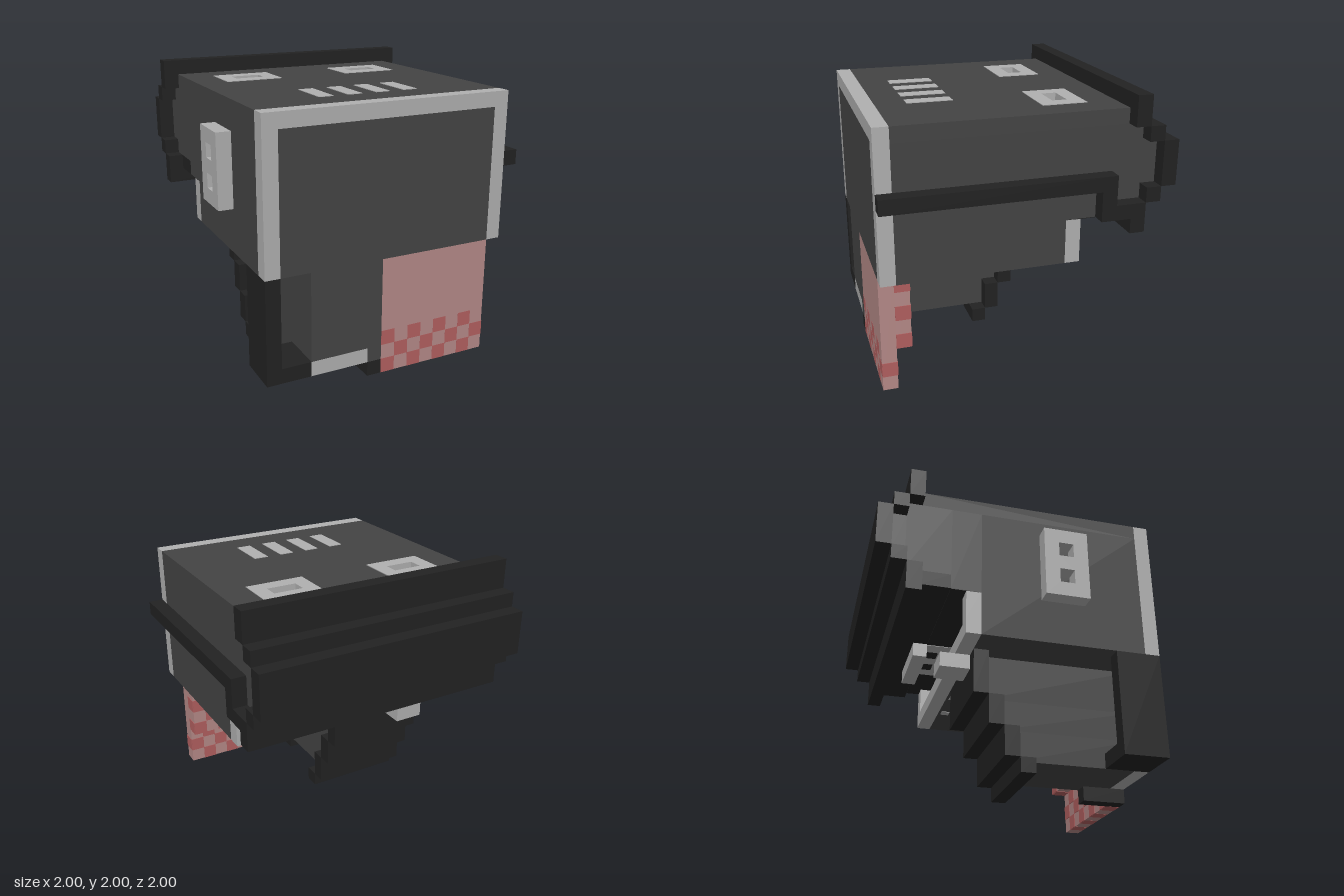
import * as THREE from 'three';

const U = 2 / 19; // one block of the 19 x 19 x 19 layout
const E = 0.04;   // thickness of painted plates, in blocks

const mat = (name, color) => {
  const m = new THREE.MeshStandardMaterial({ color });
  m.name = name;
  return m;
};

export function createModel() {
  const dark = mat('darkGray', 0x444444);
  const black = mat('black', 0x222222);
  const light = mat('lightGray', 0xb0b0b0);
  const pink = mat('pink', 0xb58a88);
  const red = mat('red', 0xb26060);
  const violet = mat('violet', 0x60608a);

  const model = new THREE.Group();
  model.name = 'blockHelmet';

  const add = (name, geometry, material) => {
    const mesh = new THREE.Mesh(geometry, material);
    mesh.name = name;
    model.add(mesh);
    return mesh;
  };

  // Box between block coordinates; x and z run 0..19, y starts at the ground
  const box = (name, material, x0, x1, y0, y1, z0, z1) => {
    const g = new THREE.BoxGeometry((x1 - x0) * U, (y1 - y0) * U, (z1 - z0) * U);
    g.translate(((x0 + x1) / 2 - 9.5) * U, ((y0 + y1) / 2) * U, ((z0 + z1) / 2 - 9.5) * U);
    return add(name, g, material);
  };

  // Slab with rectangular holes; rectangles are [a0, a1, b0, b1] in blocks
  const slab = (outer, holes) => {
    const trace = (path, [a0, a1, b0, b1]) => {
      path.moveTo(a0 * U, b0 * U);
      path.lineTo(a1 * U, b0 * U);
      path.lineTo(a1 * U, b1 * U);
      path.lineTo(a0 * U, b1 * U);
      path.closePath();
      return path;
    };
    const shape = trace(new THREE.Shape(), outer);
    shape.holes = holes.map((h) => trace(new THREE.Path(), h));
    return new THREE.ExtrudeGeometry(shape, { depth: U, bevelEnabled: false });
  };
  // Lay a slab flat: shape axes become x and z, top at block height y
  const roofSlab = (name, material, y, outer, holes) => {
    const g = slab(outer, holes);
    g.rotateX(Math.PI / 2);
    g.translate(-1, y * U, -1);
    return add(name, g, material);
  };

  // Upper shell
  box('shell', dark, 1, 18, 8, 17, 7, 18);
  box('shellRear', dark, 1, 18, 11, 17, 5, 7);
  box('shellRear', dark, 1, 18, 12, 17, 2, 5);
  box('shellRear', dark, 1, 18, 13, 16, 1, 2);

  // Roof with two sunken windows
  const windows = [3, 12];
  roofSlab('roof', dark, 18, [1, 18, 3, 18], windows.map((x) => [x, x + 4, 5, 8]));
  for (const x of windows) {
    roofSlab('windowFrame', light, 18 + E, [x, x + 4, 5, 8], [[x + 1, x + 3, 6, 7]]);
    box('windowPane', violet, x + 1, x + 3, 17, 17 + E, 6, 7);
  }
  for (let x = 6; x <= 12; x += 2) box('roofSlot', light, x, x + 1, 18, 18 + E, 13, 16);

  // Face frame and panel
  box('frameTop', light, 1, 18, 17, 18, 18, 19);
  box('frameSide', light, 1, 2, 8, 17, 18, 19);
  box('frameSide', light, 17, 18, 8, 17, 18, 19);
  box('facePanel', dark, 2, 17, 8, 17, 18, 19);

  // Stepped rear rim: [y0, y1, z0]
  for (const [y0, y1, z0] of [[17, 19, 2], [16, 17, 1], [13, 16, 0], [12, 13, 1], [10, 12, 2]]) {
    box('rearRim', black, 0, 19, y0, y1, z0, z0 + 1);
  }
  box('rearUnderside', black, 1, 18, 11, 12, 3, 5);
  box('rearUnderside', black, 1, 18, 11 - E, 11, 5, 7);

  // Bar and strap on the left side
  box('sideBar', black, 18, 19, 13, 14, 4, 19);
  box('sideStrap', black, 18, 19, 11, 13, 4, 5);
  box('sideStrap', black, 18, 19, 11, 12, 3, 4);

  // Vent on the right side, with two openings
  const vent = slab([-14, -11, 11, 16], [[-13, -12, 12, 13], [-13, -12, 14, 15]]);
  vent.rotateY(Math.PI / 2);
  vent.translate(-1, 0, -1);
  add('sideVent', vent, light);

  // Vent under the rear
  box('rearVentPlate', light, 9, 14, 11 - 2 * E, 11 - E, 4, 7);
  box('rearVentLip', light, 9, 14, 10, 11, 4, 5);
  for (const x of [10, 12]) box('rearVentOpening', black, x, x + 1, 11 - 3 * E, 11 - 2 * E, 5, 6);

  // Rear bracket
  box('bracketBeam', light, 1, 18, 8, 9, 6, 7);
  for (const x of [1, 17]) box('bracketPost', light, x, x + 1, 9, 11, 6, 7);
  box('bracketBlock', light, 4, 6, 7, 8, 5, 7);

  // Marks under the shell
  box('undersideMark', light, 10, 16, 8 - E, 8, 11, 12);
  box('undersideMark', light, 10, 11, 8 - E, 8, 12, 14);
  box('undersideMark', light, 14.5, 16, 8 - E, 8, 13, 14);
  for (const x of [11, 14]) box('undersideStud', light, x, x + 0.6, 8 - E, 8, 7.2, 7.8);

  // Lower jaw with black steps behind: [y0, y1, z of step]
  for (const [y0, y1, z] of [[5, 8, 7], [3, 5, 8], [1, 3, 9], [0, 1, 10]]) {
    box('jawStep', black, 3, 10, y0, y1, z, z + 1);
    if (y0 > 0) box('jaw', dark, 4, 9, y0, y1, z + 1, 18);
  }
  box('jawFront', dark, 4, 9, 2, 8, 18, 19);
  box('jawFront', dark, 8, 9, 1, 2, 18, 19);
  box('jawLip', light, 4, 8, 1, 2, 18, 19);
  box('chinBar', black, 8, 9, 0, 1, 16, 19);

  // Open side guard
  box('guardWall', black, 1, 2, 1, 8, 16, 19);
  box('guardFloor', black, 1, 4, 1, 2, 16, 19);

  // Chequered cloth
  box('cloth', pink, 9, 17, 0, 8, 18, 19);
  box('clothBack', pink, 9, 17, 3, 8, 17, 18);
  for (let y = 0; y < 8; y++) {
    for (let x = 9; x < 17; x++) {
      if ((x + y) % 2 === 0) continue;
      if (y < 3) box('clothCheck', red, x, x + 1, y, y + 1, 19 - E / 2, 19 + E / 4);
      const zb = y < 3 ? 18 : 17;
      box('clothCheck', red, x, x + 1, y, y + 1, zb - E, zb);
    }
  }
  box('clothCheck', red, 17, 17 + E, 1, 2, 18, 19);
  for (const y of [3, 5, 7]) box('clothCheck', red, 17, 17 + E, y, y + 1, 17, 18);
  for (let x = 10; x < 17; x += 2) {
    box('clothCheck', red, x, x + 1, 3 - E, 3, 17, 18);
    box('clothCheck', red, x - 1, x, -E / 4, E / 2, 18, 19);
  }
  return model;
}
